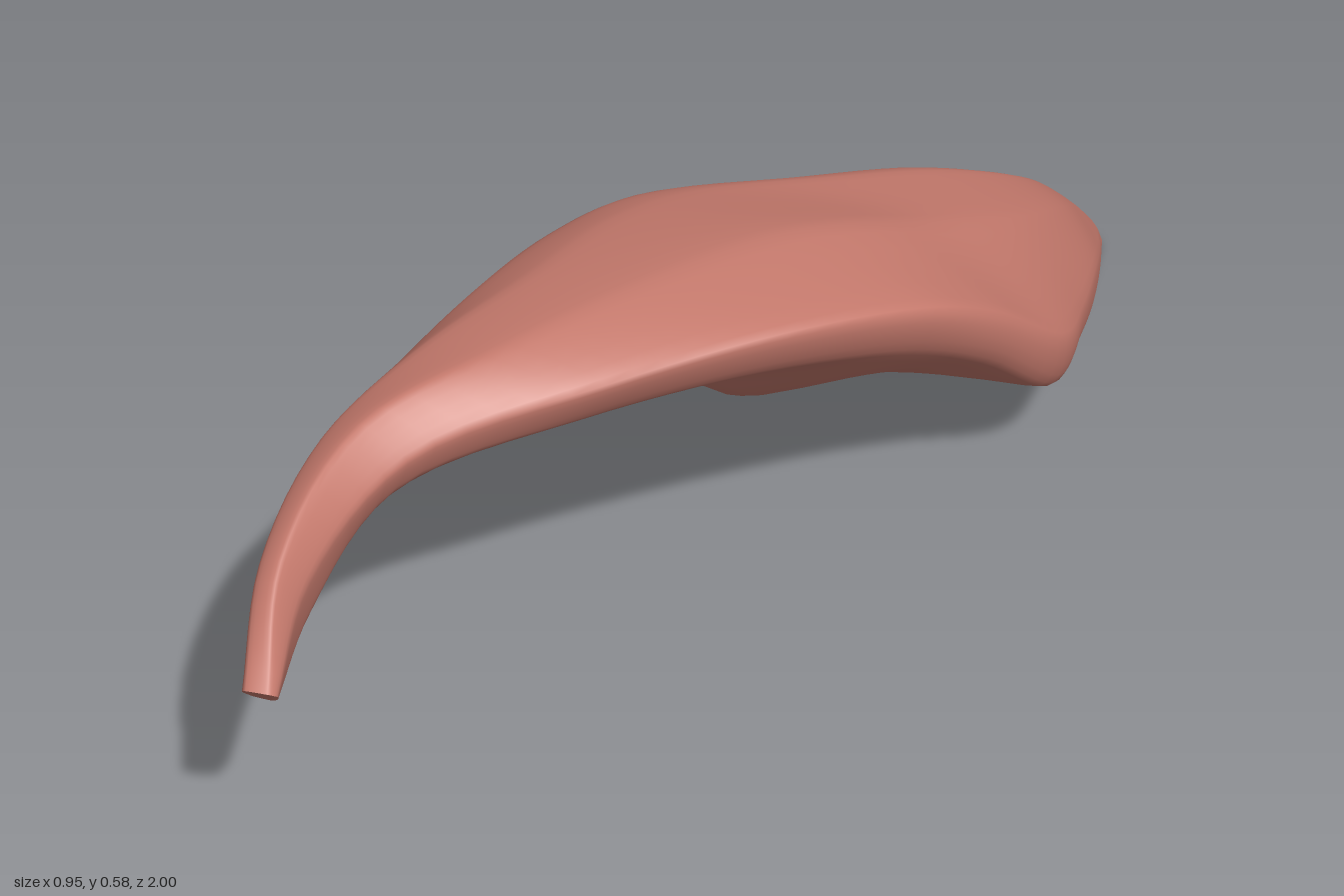
import * as THREE from 'three';

// Stations along the length: z, shear of z with height, and the height where shear is zero
const stations = [
  [0.93, 1.1, 0.292], [0.8, 0.5, 0.38], [0.6, 0, 0], [0.4, 0, 0], [0.2, 0, 0], [0.0, 0, 0],
  [-0.13, 0, 0], [-0.3, 0, 0], [-0.5, 0, 0], [-0.7, 0, 0], [-0.87, 0, 0], [-0.995, 0, 0],
];

// Lengthwise rails, [x, y] at every station, in order around the cross-section
const rails = {
  ridge: [[-0.442, 0.32], [-0.473, 0.38], [-0.46, 0.45], [-0.412, 0.485], [-0.352, 0.51], [-0.287, 0.505],
    [-0.2, 0.505], [-0.01, 0.462], [0.165, 0.395], [0.296, 0.275], [0.335, 0.15], [0.37, 0.045]],
  topInner: [[-0.425, 0.357], [-0.455, 0.45], [-0.44, 0.51], [-0.355, 0.55], [-0.25, 0.568], [-0.18, 0.556],
    [-0.1, 0.537], [0.08, 0.492], [0.22, 0.41], [0.315, 0.296], [0.345, 0.172], [0.376, 0.053]],
  topOuter: [[-0.39, 0.357], [-0.42, 0.465], [-0.38, 0.54], [-0.22, 0.575], [-0.07, 0.583], [0.07, 0.564],
    [0.17, 0.525], [0.28, 0.44], [0.36, 0.345], [0.39, 0.25], [0.387, 0.145], [0.39, 0.048]],
  outerEdge: [[-0.38, 0.345], [-0.39, 0.42], [-0.315, 0.49], [-0.075, 0.53], [0.14, 0.528], [0.31, 0.475],
    [0.39, 0.4], [0.467, 0.265], [0.465, 0.195], [0.452, 0.15], [0.428, 0.08], [0.403, 0.03]],
  lowerEdge: [[-0.405, 0.29], [-0.4, 0.35], [-0.335, 0.435], [-0.12, 0.46], [0.1, 0.45], [0.285, 0.385],
    [0.37, 0.3], [0.445, 0.16], [0.45, 0.105], [0.445, 0.055], [0.43, 0.03], [0.412, 0.006]],
  keel: [[-0.435, 0.242], [-0.43, 0.29], [-0.385, 0.387], [-0.24, 0.425], [-0.1, 0.43], [0.02, 0.265],
    [0.05, 0.233], [0.24, 0.19], [0.335, 0.115], [0.385, 0.055], [0.405, 0.014], [0.405, 0.002]],
  underInner: [[-0.45, 0.27], [-0.46, 0.31], [-0.43, 0.375], [-0.36, 0.415], [-0.28, 0.435], [-0.17, 0.405],
    [-0.07, 0.37], [0.065, 0.315], [0.22, 0.235], [0.318, 0.18], [0.352, 0.105], [0.382, 0.033]],
};

const LENGTH_STEPS = 66;
const AROUND = 42;

// Closed cross-sections with tight corners, sampled along the rails
function makeRings() {
  const curves = Object.values(rails).map((rail) => new THREE.CatmullRomCurve3(
    rail.map(([x, y], i) => {
      const [z, shear, mid] = stations[i];
      return new THREE.Vector3(x, y, z + shear * (y - mid));
    }), false, 'centripetal'));
  const rings = [];
  for (let i = 0; i <= LENGTH_STEPS; i++) {
    const section = new THREE.CatmullRomCurve3(
      curves.map((c) => c.getPoint(i / LENGTH_STEPS)), true, 'catmullrom', 0.28);
    rings.push(Array.from({ length: AROUND }, (_, j) => section.getPoint(j / AROUND)));
  }
  return rings;
}

function buildGeometry(points, index) {
  const geometry = new THREE.BufferGeometry().setFromPoints(points);
  geometry.setIndex(index);
  geometry.computeVertexNormals();
  return geometry;
}

// Skin joining neighbouring rings
function skin(rings) {
  const index = [];
  for (let i = 0; i < rings.length - 1; i++) {
    for (let j = 0; j < AROUND; j++) {
      const k = (j + 1) % AROUND;
      const a = i * AROUND + j, b = i * AROUND + k;
      const c = a + AROUND, d = b + AROUND;
      index.push(a, b, c, b, d, c);
    }
  }
  return buildGeometry(rings.flat(), index);
}

// Fan closing one end, its centre moved by dz
function endCap(ring, facesFront, dz) {
  const centre = new THREE.Vector3();
  ring.forEach((p) => centre.addScaledVector(p, 1 / AROUND));
  centre.z += dz;
  const index = [];
  for (let j = 0; j < AROUND; j++) {
    const k = (j + 1) % AROUND;
    index.push(AROUND, facesFront ? k : j, facesFront ? j : k);
  }
  return buildGeometry([...ring, centre], index);
}

export function createModel() {
  const group = new THREE.Group();
  group.name = 'muscle';
  const flesh = new THREE.MeshStandardMaterial({ color: 0xc4796c });
  flesh.name = 'flesh red';
  const add = (name, geometry) => {
    const mesh = new THREE.Mesh(geometry, flesh);
    mesh.name = name;
    group.add(mesh);
  };

  const rings = makeRings();
  add('muscleBelly', skin(rings));
  add('frontTendonEnd', endCap(rings[0], true, -0.02));
  add('backTip', endCap(rings[LENGTH_STEPS], false, -0.005));
  return group;
}
